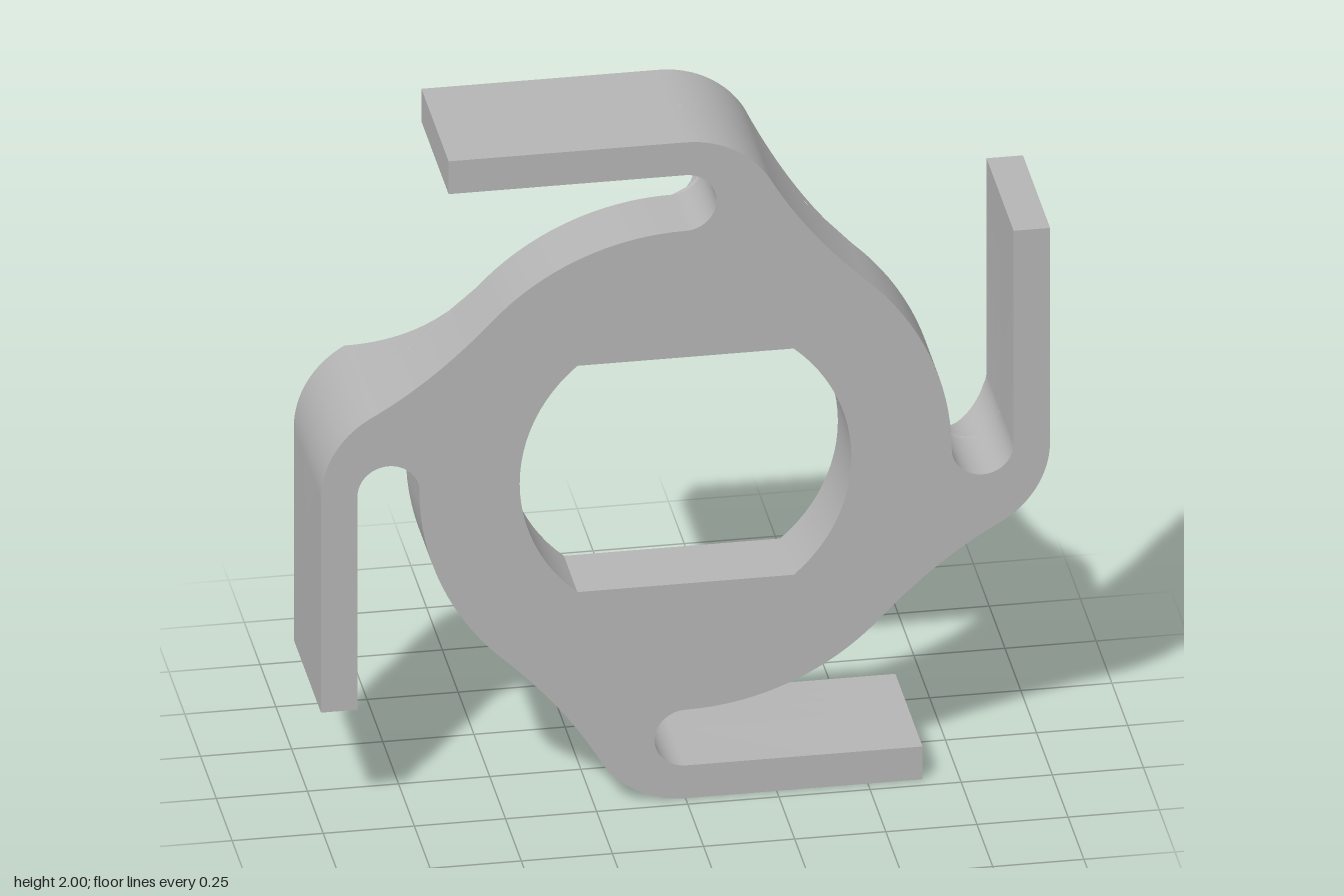
import * as THREE from 'three';
import { toCreasedNormals } from 'three/addons/utils/BufferGeometryUtils.js';

const BODY_R = 0.73;   // hub radius
const BACK_R = 0.893;  // radius of the conical relief at the back face
const HALF = 0.215;    // half thickness

// Outer edge of one arm: leaves the hub, flares out, rounds over to the bar
function outerEdge() {
  const a = Math.atan2(0.13, 0.237);
  const p = new THREE.Path();
  p.moveTo(0.503, 0.529);
  p.quadraticCurveTo(0.334, 0.687, 0.27 * Math.cos(a), 0.73 + 0.27 * Math.sin(a));
  p.absarc(0, 0.73, 0.27, a, Math.PI / 2, false);
  return p;
}

// Rounded end of the slot between hub and bar, from hub to bar
function slotEdge() {
  const p = new THREE.Path();
  p.absarc(0, 0.815, 0.085, -Math.PI / 2, Math.PI / 2, false);
  return p;
}

// Points of an edge lying outside radius r
function pointsBeyond(path, r, n) {
  let lo = 0, hi = 1;
  for (let i = 0; i < 30; i++) {
    const mid = (lo + hi) / 2;
    if (path.getPoint(mid).length() < r) lo = mid; else hi = mid;
  }
  return Array.from({ length: n + 1 }, (_, i) => path.getPoint(lo + (1 - lo) * i / n));
}

const onCircle = (r, a) => new THREE.Vector2(r * Math.cos(a), r * Math.sin(a));
const barTip = () => [new THREE.Vector2(-0.65, 1), new THREE.Vector2(-0.65, 0.9)];

// Front plate: hub, four arms and the flat-sided bore
function frontPlateGeometry() {
  const outline = [];
  const outer = pointsBeyond(outerEdge(), BODY_R, 48);
  const slot = pointsBeyond(slotEdge(), BODY_R, 24).reverse();
  const start = outer[0].angle();
  const rim = [];
  for (let i = 1; i < 16; i++) {
    rim.push(onCircle(BODY_R, Math.PI / 2 + start * i / 16));
  }
  const quarter = [...outer, ...barTip(), ...slot, ...rim];
  const origin = new THREE.Vector2();
  for (let k = 0; k < 4; k++) {
    for (const p of quarter) outline.push(p.clone().rotateAround(origin, k * Math.PI / 2));
  }
  const shape = new THREE.Shape(outline);
  shape.holes.push(boreHole());
  return new THREE.ExtrudeGeometry(shape, { depth: HALF, bevelEnabled: false });
}

function boreHole() {
  const a = Math.asin(0.345 / 0.455);
  const hole = new THREE.Path();
  hole.absarc(0, 0, 0.455, -a, a, false);
  hole.absarc(0, 0, 0.455, Math.PI - a, Math.PI + a, false);
  hole.closePath();
  return hole;
}

// Rear half of an arm: the bar plus a web whose foot is cut back by a cone
function rearArmGeometry() {
  const layers = 14, n = 32, m = 20;
  const section = (r) => {
    const a = pointsBeyond(outerEdge(), r, n);
    const b = pointsBeyond(slotEdge(), r, n).reverse();
    const from = b[n].angle(), to = a[0].angle();
    const foot = [];
    for (let i = 1; i < m; i++) foot.push(onCircle(r, from + (to - from) * i / m));
    return [...a, ...barTip(), ...b, ...foot];
  };
  const rings = [];
  for (let j = 0; j <= layers; j++) {
    const t = j / layers;
    rings.push({ z: -HALF * (1 - t), pts: section(BACK_R + (BODY_R - BACK_R) * t) });
  }
  const pos = [];
  const put = (p, z) => pos.push(p.x, p.y, z);
  // side walls and cone
  for (let j = 0; j < layers; j++) {
    const lo = rings[j], hi = rings[j + 1], count = lo.pts.length;
    for (let i = 0; i < count; i++) {
      const k = (i + 1) % count;
      put(lo.pts[i], lo.z); put(lo.pts[k], lo.z); put(hi.pts[k], hi.z);
      put(lo.pts[i], lo.z); put(hi.pts[k], hi.z); put(hi.pts[i], hi.z);
    }
  }
  // back face
  const back = rings[0];
  for (const [a, b, c] of THREE.ShapeUtils.triangulateShape(back.pts.slice(), [])) {
    put(back.pts[c], back.z); put(back.pts[b], back.z); put(back.pts[a], back.z);
  }
  const g = new THREE.BufferGeometry();
  g.setAttribute('position', new THREE.Float32BufferAttribute(pos, 3));
  return g;
}

export function createModel() {
  const grey = new THREE.MeshStandardMaterial({ color: 0xb4b4b4 });
  grey.name = 'grey';
  const model = new THREE.Group();
  model.name = 'fourArmedSpringHub';

  const plate = new THREE.Mesh(toCreasedNormals(frontPlateGeometry(), 0.5), grey);
  plate.name = 'frontPlate';
  plate.position.y = 1;
  model.add(plate);

  const armGeometry = toCreasedNormals(rearArmGeometry(), 0.5);
  ['top', 'right', 'bottom', 'left'].forEach((side, k) => {
    const arm = new THREE.Mesh(armGeometry, grey);
    arm.name = side + 'ArmRear';
    arm.position.y = 1;
    arm.rotation.z = k * Math.PI / 2;
    model.add(arm);
  });
  return model;
}
